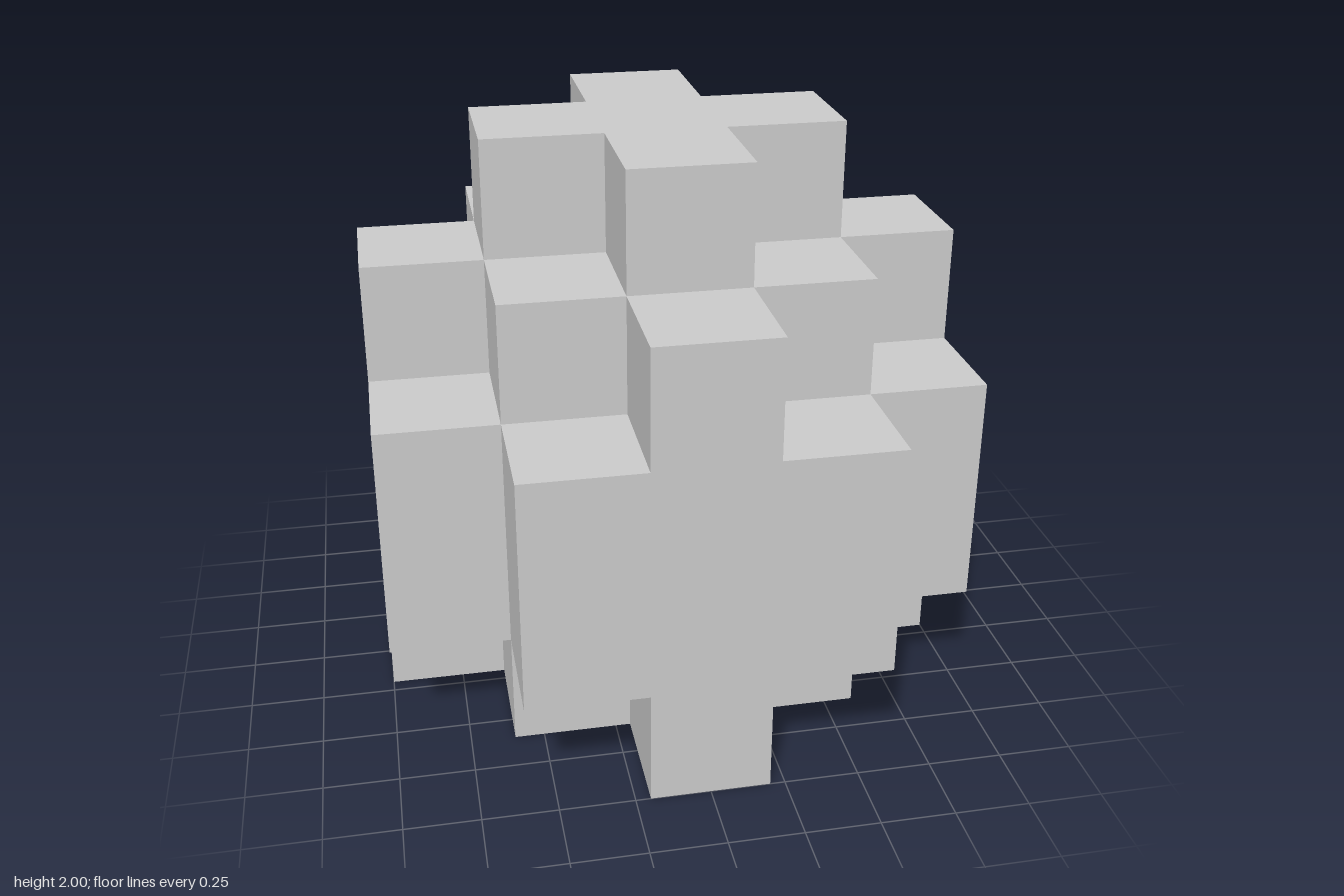
import * as THREE from 'three';
import { mergeGeometries } from 'three/addons/utils/BufferGeometryUtils.js';

const CELL = 0.4;

// Each layer, bottom to top, keeps the cells whose squared distance from the axis is within the limit
const LAYERS = [
  { name: 'baseLayer', limit: 4 },
  { name: 'lowerMiddleLayer', limit: 5 },
  { name: 'upperMiddleLayer', limit: 5 },
  { name: 'shoulderLayer', limit: 4 },
  { name: 'topLayer', limit: 1 },
];

const DIRECTIONS = [
  [1, 0, 0], [-1, 0, 0], [0, 1, 0], [0, -1, 0], [0, 0, 1], [0, 0, -1],
].map((d) => new THREE.Vector3(...d));

function filled(x, y, z) {
  return y >= 0 && y < LAYERS.length && Math.abs(x) <= 2 && Math.abs(z) <= 2
    && x * x + z * z <= LAYERS[y].limit;
}

// One outward-facing square on the given side of a cell
function cellFace(x, y, z, dir) {
  const turn = new THREE.Quaternion().setFromUnitVectors(new THREE.Vector3(0, 0, 1), dir);
  const center = new THREE.Vector3(x, y + 0.5, z).addScaledVector(dir, 0.5).multiplyScalar(CELL);
  return new THREE.PlaneGeometry(CELL, CELL)
    .applyQuaternion(turn)
    .translate(center.x, center.y, center.z);
}

// Only the exposed faces of a layer, so the block ball is one closed hollow skin
function layerGeometry(y) {
  const faces = [];
  for (let x = -2; x <= 2; x++) {
    for (let z = -2; z <= 2; z++) {
      if (!filled(x, y, z)) continue;
      for (const d of DIRECTIONS) {
        if (!filled(x + d.x, y + d.y, z + d.z)) faces.push(cellFace(x, y, z, d));
      }
    }
  }
  return mergeGeometries(faces);
}

export function createModel() {
  const model = new THREE.Group();
  model.name = 'blockBall';
  const material = new THREE.MeshStandardMaterial({ color: 0xcccccc, flatShading: true });
  LAYERS.forEach(({ name }, y) => {
    const layer = new THREE.Mesh(layerGeometry(y), material);
    layer.name = name;
    model.add(layer);
  });
  return model;
}
